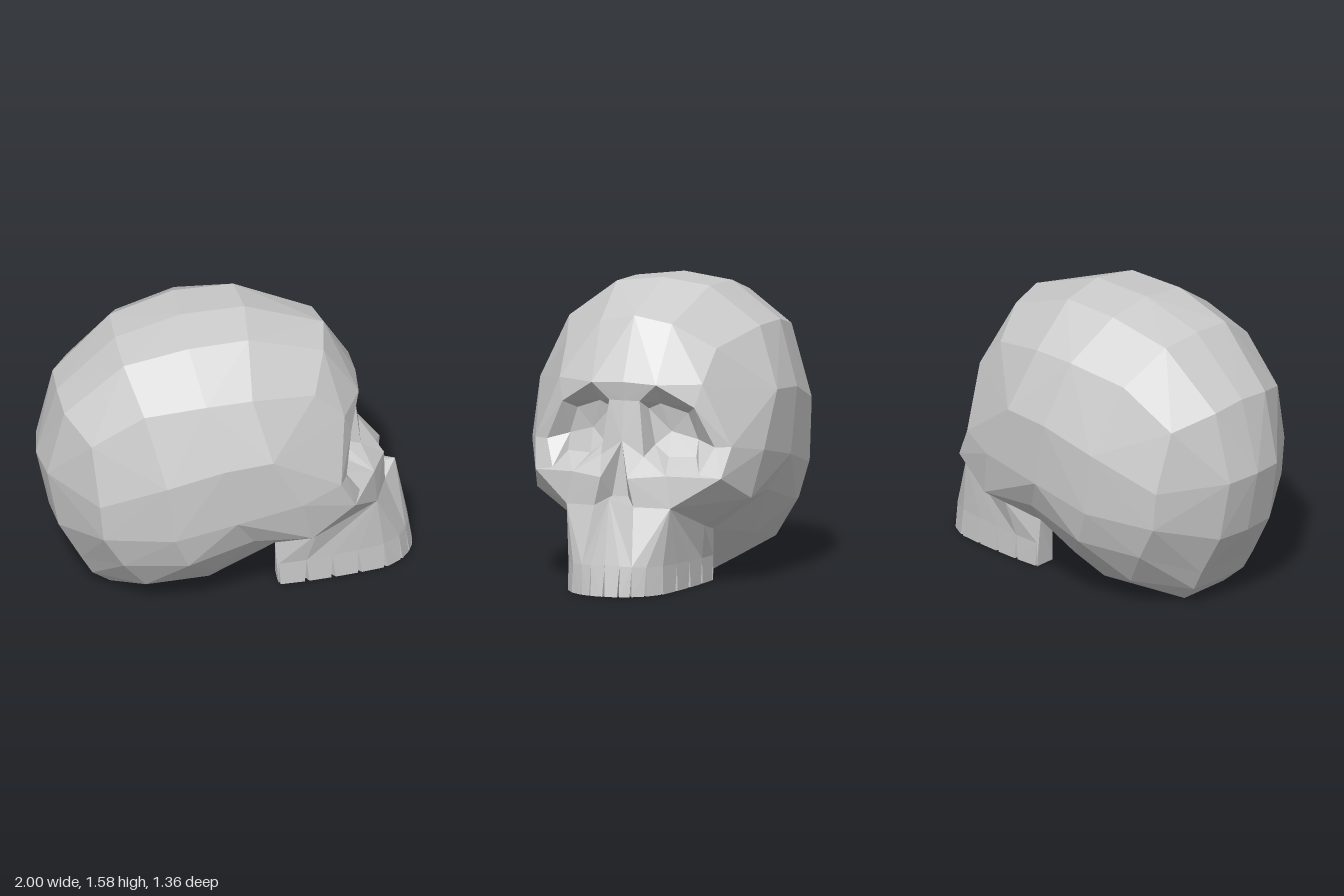
import * as THREE from 'three';

const material = new THREE.MeshStandardMaterial({ color: 0xcccccc, flatShading: true, side: THREE.DoubleSide });

// Face polygons away from (sign 1) or towards (sign -1) a point, and mirror them in z.
function halfMesh(name, polys, ref, sign) {
  const out = [];
  const r = new THREE.Vector3(...ref);
  const normal = (a, b, c) => {
    const n = b.clone().sub(a).cross(c.clone().sub(a));
    return n.dot(a.clone().add(b).add(c).divideScalar(3).sub(r)) * sign < 0 ? n.negate() : n;
  };
  for (const poly of polys) {
    const p = poly.map(a => new THREE.Vector3(...a));
    // Split quads along the diagonal that bulges outward
    if (p.length === 4 && normal(p[0], p[1], p[2]).dot(p[3].clone().sub(p[0])) > 0) p.push(p.shift());
    for (let i = 1; i < p.length - 1; i++) {
      let t = [p[0], p[i], p[i + 1]];
      const n = t[1].clone().sub(t[0]).cross(t[2].clone().sub(t[0]));
      if (n.length() < 1e-7) continue;
      if (n.dot(normal(...t)) < 0) t = [t[0], t[2], t[1]];
      for (const v of t) out.push(v.x, v.y, v.z);
      for (const v of [t[0], t[2], t[1]]) out.push(v.x, v.y, -v.z);
    }
  }
  const g = new THREE.BufferGeometry();
  g.setAttribute('position', new THREE.Float32BufferAttribute(out, 3));
  g.computeVertexNormals();
  const m = new THREE.Mesh(g, material);
  m.name = name;
  return m;
}

// Quads between successive rows of points
function strips(rows) {
  const polys = [];
  for (let j = 0; j < rows.length - 1; j++) {
    const a = rows[j], b = rows[j + 1];
    for (let i = 0; i < Math.min(a.length, b.length) - 1; i++) polys.push([a[i], a[i + 1], b[i + 1], b[i]]);
  }
  return polys;
}

// Shared landmarks of the left half
const browMid = [0.70, 1.10, 0], brow = [0.69, 1.09, 0.18], temple = [0.58, 1.09, 0.40];
const orbitSide = [0.54, 0.76, 0.55];
const cheek = [0.62, 0.60, 0.52], cheekBack = [0.38, 0.47, 0.60];
const jawSide = [0.44, 0.32, 0.36], jawFront = [0.77, 0.45, 0.29], jawBack = [0.22, 0.27, 0.33];
const root = [0.685, 1.0, 0], noseTop = [0.715, 0.79, 0], noseSide = [0.84, 0.61, 0.075];
const noseBase = [0.84, 0.46, 0.11], spine = [0.91, 0.51, 0];

function cranium() {
  // Rows run from back to front, ordered from the crown down to the base
  const upper = [
    [[-0.89, 1.15, 0], [-0.58, 1.45, 0], [-0.23, 1.56, 0], [0.11, 1.575, 0], [0.53, 1.43, 0], browMid],
    [[-0.88, 1.13, 0.20], [-0.57, 1.43, 0.24], [-0.23, 1.525, 0.27], [0.09, 1.54, 0.26], [0.50, 1.39, 0.20], brow],
    [[-0.77, 1.06, 0.43], [-0.50, 1.27, 0.50], [-0.18, 1.34, 0.555], [0.07, 1.34, 0.535], [0.42, 1.26, 0.42], temple],
    [[-0.74, 0.73, 0.52], [-0.40, 0.90, 0.65], [-0.10, 1.0, 0.68], [0.16, 1.02, 0.665], temple, temple],
    [[-0.72, 0.52, 0.52], [-0.36, 0.56, 0.65], [-0.03, 0.65, 0.67], [0.32, 0.72, 0.65], orbitSide],
  ];
  const lower = [
    [[-0.61, 0.33, 0.50], [-0.28, 0.37, 0.61], [0.07, 0.47, 0.58], cheekBack, cheek],
    [[-0.48, 0.14, 0.42], [-0.11, 0.21, 0.44], jawBack, jawSide, jawFront],
  ];
  const base = [
    lower[1].slice(0, 3),
    [[-0.63, 0, 0.16], [-0.11, 0, 0.20], [0.22, 0.27, 0.12]],
    [[-0.63, 0, 0], [-0.11, 0, 0], [0.22, 0.27, 0]],
  ];
  const rows = [...upper, ...lower];
  const a = rows.map(r => r[0]);
  const back = [
    [a[0], a[1], a[2]],
    [[-1, 0.76, 0], [-0.97, 0.75, 0.19], a[3]],
    [[-0.93, 0.42, 0], [-0.91, 0.42, 0.20], a[4]],
    [[-0.80, 0.20, 0], [-0.79, 0.20, 0.21], a[5]],
    [[-0.74, 0.09, 0], [-0.73, 0.09, 0.20], a[6]],
    [base[2][0], base[1][0], a[6]],
  ];
  return halfMesh('cranium', [...strips(rows), ...strips(base), ...strips(back)], [-0.1, 0.7, 0], 1);
}

function face(group) {
  const rim = [
    [0.68, 1.0, 0.085], brow, [0.62, 0.97, 0.37], [0.58, 0.76, 0.47],
    [0.66, 0.62, 0.41], [0.76, 0.62, 0.26], [0.71, 0.71, 0.12],
  ];
  const inner = [
    [0.59, 0.95, 0.105], [0.59, 0.98, 0.17], [0.55, 0.93, 0.31], [0.53, 0.79, 0.36],
    [0.56, 0.70, 0.36], [0.60, 0.70, 0.22], [0.59, 0.76, 0.14],
  ];
  // Bony mask around the sockets and nose
  group.add(halfMesh('facialBones', [
    [browMid, brow, rim[0], root], [root, rim[0], rim[6], noseTop],
    [brow, temple, rim[2]], [temple, orbitSide, rim[3], rim[2]], [orbitSide, cheek, rim[4], rim[3]],
    [noseTop, rim[6], rim[5], noseSide], [noseSide, rim[5], jawFront, noseBase],
    [rim[5], rim[4], cheek, jawFront],
  ], [0.1, 0.7, 0.1], 1));
  // Eye sockets: walls from the rim inward, then a nearly flat back
  const walls = rim.map((p, i) => {
    const k = (i + 1) % rim.length;
    return [p, rim[k], inner[k], inner[i]];
  });
  const depth = [0.555, 0.83, 0.22];
  const ends = inner.map((p, i) => [p, inner[(i + 1) % inner.length], depth]);
  group.add(halfMesh('eyeSockets', [...walls, ...ends], [0.66, 0.84, 0.24], -1));
  // Nasal cavity
  const pit = [0.74, 0.50, 0.045], pitMid = [0.74, 0.50, 0];
  group.add(halfMesh('nasalCavity', [
    [noseTop, noseSide, noseBase, pit], [noseTop, pit, pitMid], [noseBase, spine, pitMid, pit],
  ], [1.0, 0.62, 0], -1));
}

function jaw(group) {
  // Gum line from the middle tooth to the back of the arch, as x and z
  const arch = [
    [0.975, 0], [0.968, 0.08], [0.945, 0.14], [0.90, 0.205], [0.81, 0.265],
    [0.67, 0.292], [0.53, 0.312], [0.39, 0.328], [0.24, 0.335],
  ];
  const last = arch.length - 1;
  const gum = arch.map(([x, z], i) => [x, 0.165 - i * 0.004, z]);
  const foot = arch.map(([x, z], i) => [x + 0.025 * (1 - i / last), 0, z]);
  const inset = (p, kx, kz, y) => [0.245 + (p[0] - 0.245) * kx, y, p[2] * kz];
  const groove = foot.map(p => inset(p, 0.95, 0.88, 0));
  const low = foot.map(p => inset(p, 0.78, 0.62, 0));
  const high = low.map(p => [p[0], 0.27, p[2]]);
  const mix = (a, b, t) => a.map((v, k) => v + (b[k] - v) * t);

  group.add(halfMesh('upperJaw', [
    [spine, noseBase, gum[2], gum[1], gum[0]],
    [jawFront, gum[4], gum[3], gum[2], noseBase],
    [jawFront, jawSide, gum[7], gum[6], gum[5], gum[4]],
    [jawSide, jawBack, gum[8], gum[7]],
  ], [0.4, 0.25, 0], 1));

  const fronts = [], soles = [], insides = [], palate = [];
  for (let i = 0; i < last; i++) {
    const l = mix(foot[i], foot[i + 1], 0.08), r = mix(foot[i], foot[i + 1], 0.92);
    fronts.push([gum[i], gum[i + 1], r, l]);
    fronts.push([gum[i], l, groove[i]], [gum[i + 1], r, groove[i + 1]]);
    soles.push([groove[i], l, r, groove[i + 1], low[i + 1], low[i]]);
    insides.push([low[i], low[i + 1], high[i + 1], high[i]]);
    palate.push([high[i], high[i + 1], [high[i + 1][0], 0.27, 0], [high[i][0], 0.27, 0]]);
  }
  group.add(halfMesh('teeth', fronts, [0.4, 0.1, 0], 1));
  group.add(halfMesh('toothEdges', soles, [0.5, 1, 0], 1));
  group.add(halfMesh('innerJaw', insides, [0.4, 0.1, 0], -1));
  group.add(halfMesh('palate', palate, [0.5, -1, 0], -1));
  group.add(halfMesh('jawEnds', [[jawBack, gum[last], foot[last], low[last], high[last]]], [1, 0.1, 0.25], 1));
}

export function createModel() {
  const group = new THREE.Group();
  group.name = 'skull';
  group.add(cranium());
  face(group);
  jaw(group);
  return group;
}
